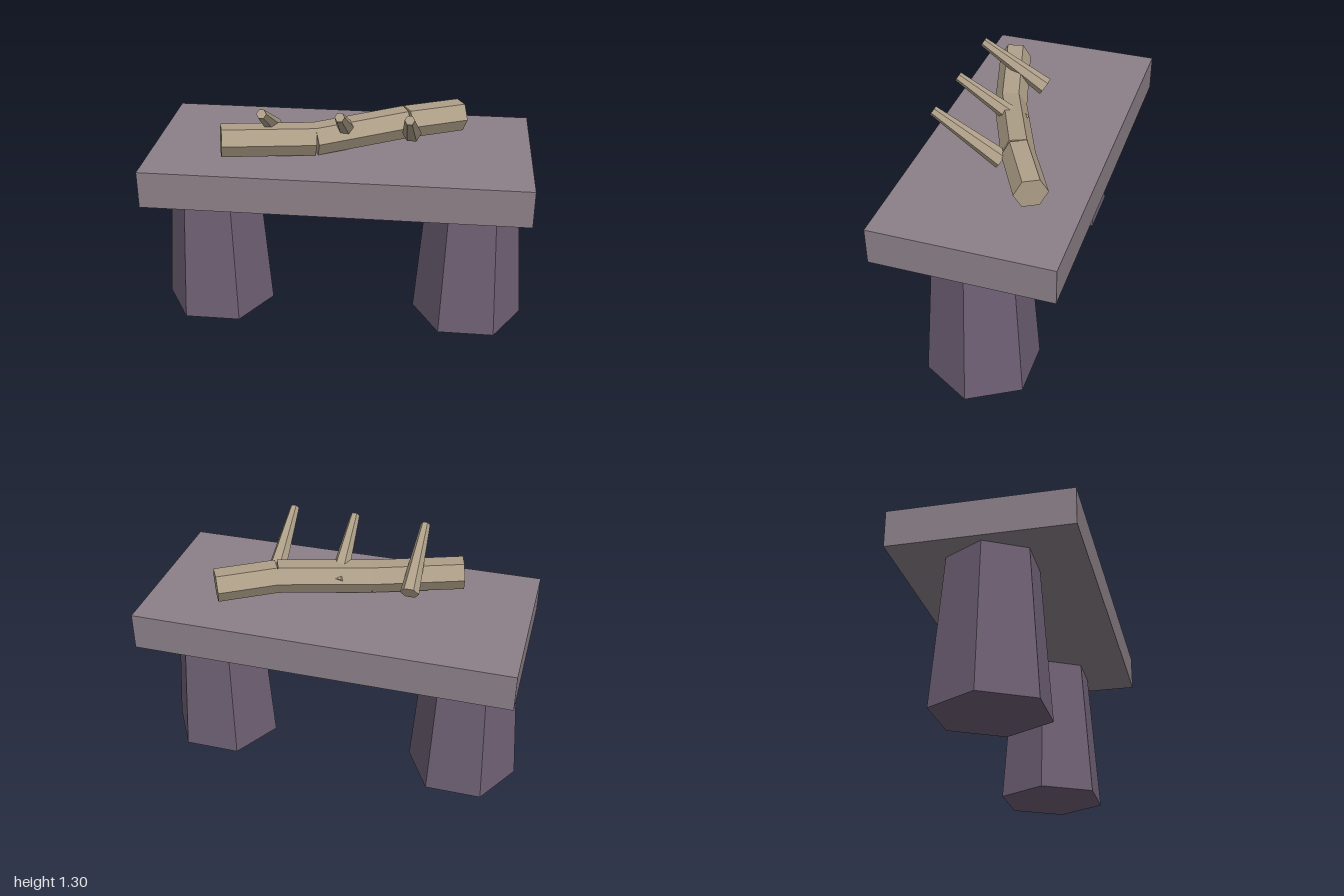
import * as THREE from 'three';

const mat = (name, color) => {
  const m = new THREE.MeshStandardMaterial({ color, flatShading: true });
  m.name = name;
  return m;
};

export function createModel() {
  const group = new THREE.Group();
  const slabStone = mat('slab stone', 0x8c8088);
  const legStone = mat('leg stone', 0x6e6074);
  const wood = mat('weathered wood', 0xae9f88);

  const add = (name, geometry, material) => {
    const mesh = new THREE.Mesh(geometry, material);
    mesh.name = name;
    group.add(mesh);
    return mesh;
  };

  // Hexagonal bar between two points, with corners pointing sideways
  const hexBar = (name, from, to, r0, r1) => {
    const a = new THREE.Vector3(...from), b = new THREE.Vector3(...to);
    const geometry = new THREE.CylinderGeometry(r1, r0, a.distanceTo(b), 6);
    geometry.rotateY(Math.PI / 2).rotateX(Math.PI / 2);
    const bar = add(name, geometry, wood);
    bar.position.lerpVectors(a, b, 0.5);
    bar.lookAt(b);
  };

  // Table slab
  add('tableTop', new THREE.BoxGeometry(1.97, 0.195, 0.93), slabStone).position.y = 0.8825;

  // Two tapered hexagonal legs
  for (const side of [-1, 1]) {
    const geometry = new THREE.CylinderGeometry(0.239, 0.3, 0.79, 6).rotateY(Math.PI / 2);
    add(side > 0 ? 'leftLeg' : 'rightLeg', geometry, legStone).position.set(side * 0.7, 0.395, 0);
  }

  // Bent log made of three straight pieces
  const bends = [[-0.595, 1.08, 0.25], [-0.13, 1.056, 0.123], [0.33, 1.092, -0.07], [0.61, 1.082, -0.225]];
  for (let i = 0; i < 3; i++) hexBar('logPiece' + (i + 1), bends[i], bends[i + 1], 0.086, 0.086);

  // Three slanted, tapering spikes
  [-0.36, 0.025, 0.365].forEach((x, i) =>
    hexBar('spike' + (i + 1), [x, 1.06, 0.003], [x, 1.278, 0.355], 0.05, 0.025));

  return group;
}
